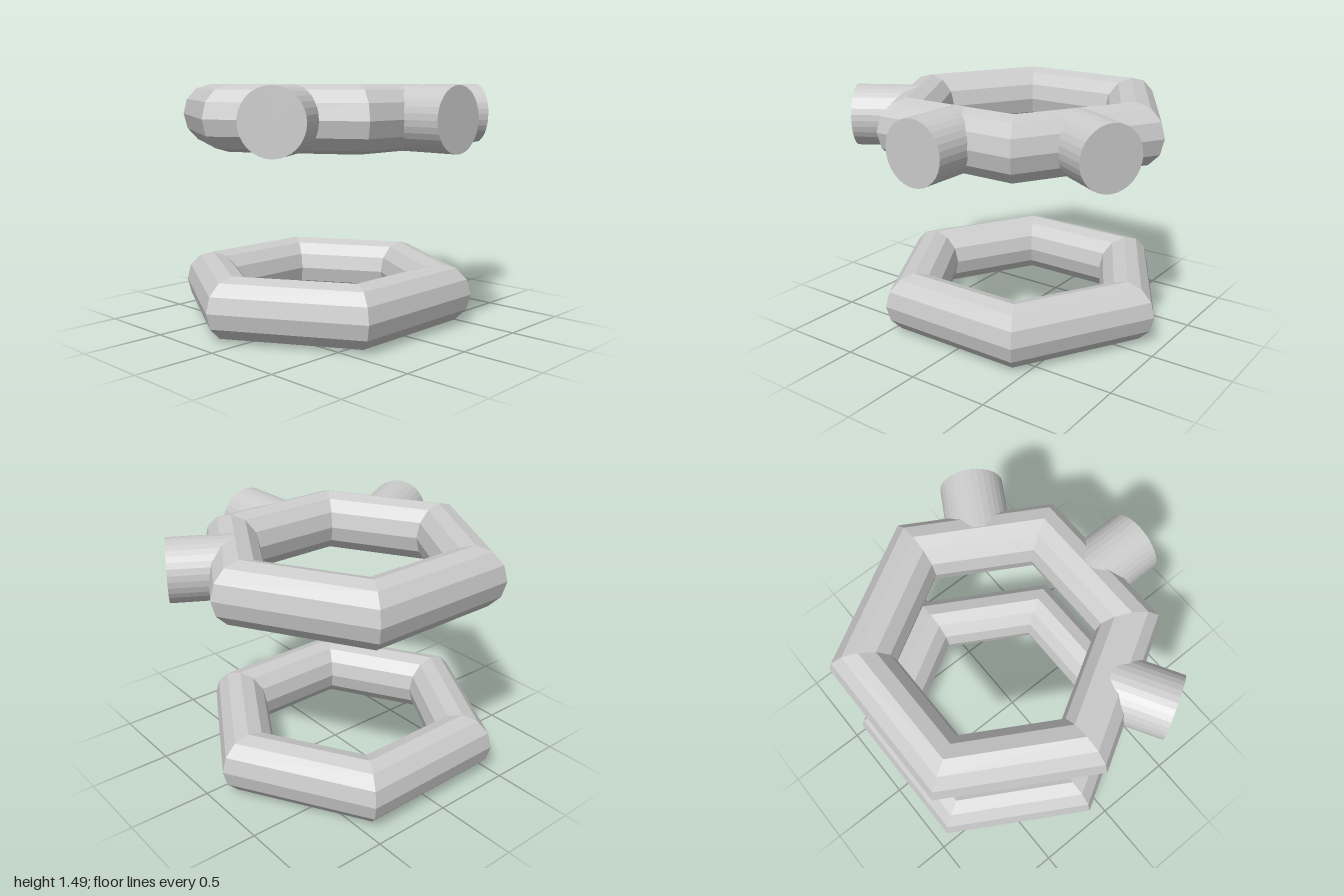
import * as THREE from 'three';

const CENTRE_X = -0.114, RING_R = 0.757, TUBE_R = 0.19;
const LOWER_Y = 0.19, UPPER_Y = 1.295;

export function createModel() {
  const model = new THREE.Group();
  model.name = 'hexagonalRings';
  const material = new THREE.MeshStandardMaterial({ color: 0xcccccc, flatShading: true });

  // Six-sided ring lying flat, with corners pointing to the front and back
  const ringGeometry = new THREE.TorusGeometry(RING_R, TUBE_R, 12, 6);
  ringGeometry.rotateX(-Math.PI / 2).rotateY(Math.PI / 2);
  const addRing = (name, y) => {
    const ring = new THREE.Mesh(ringGeometry, material);
    ring.name = name;
    ring.position.set(CENTRE_X, y, 0);
    model.add(ring);
  };
  addRing('lowerRing', LOWER_Y);
  addRing('upperRing', UPPER_Y);

  // Round stubs growing outward from the middle of three upper sides
  const length = 0.386;
  const stubGeometry = new THREE.CylinderGeometry(TUBE_R, TUBE_R, length, 32);
  stubGeometry.rotateZ(-Math.PI / 2).translate(-length / 2, 0, 0);
  const addStub = (name, angle, endX, endZ) => {
    const stub = new THREE.Mesh(stubGeometry, material);
    stub.name = name;
    stub.rotation.y = -angle;
    stub.position.set(endX, UPPER_Y, endZ);
    model.add(stub);
  };
  addStub('sideStub', 0, 0.93, 0);
  addStub('frontStub', Math.PI / 3, 0.414, 0.905);
  addStub('backStub', -Math.PI / 3, 0.414, -0.905);

  return model;
}
